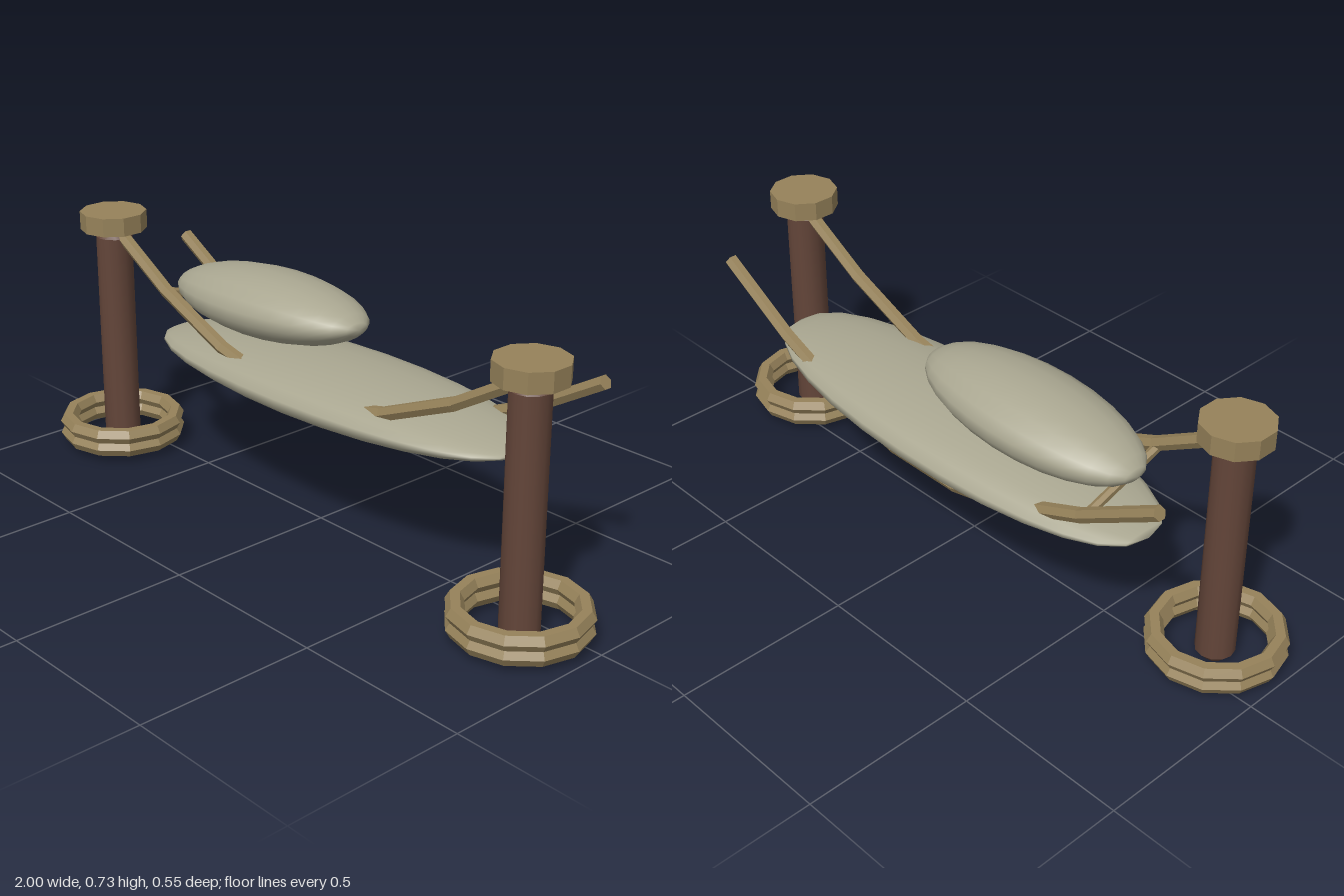
import * as THREE from 'three';
import { mergeVertices, toCreasedNormals } from 'three/addons/utils/BufferGeometryUtils.js';

const material = (name, color) => {
  const m = new THREE.MeshStandardMaterial({ color });
  m.name = name;
  return m;
};

const wood = material('dark wood', 0x634539);
const rope = material('tan rope', 0x96825a);
const cloth = material('canvas cloth', 0xaaa791);

function add(parent, name, geometry, mat, x = 0, y = 0, z = 0) {
  const mesh = new THREE.Mesh(geometry, mat);
  mesh.name = name;
  mesh.position.set(x, y, z);
  parent.add(mesh);
  return mesh;
}

// Soft lens along x: thickness and width fall off at different rates
function lens(length, height, width, thin, wide) {
  const g = new THREE.SphereGeometry(1, 18, 14).rotateZ(Math.PI / 2);
  g.deleteAttribute('uv');
  g.deleteAttribute('normal');
  const p = g.attributes.position;
  for (let i = 0; i < p.count; i++) {
    const x = p.getX(i);
    const s = Math.max(Math.sqrt(Math.max(0, 1 - x * x)), 0.02);
    p.setXYZ(i, x * length / 2,
      p.getY(i) * s ** (thin - 1) * height / 2,
      p.getZ(i) * s ** (wide - 1) * width / 2);
  }
  const merged = mergeVertices(g, 1e-4);
  merged.computeVertexNormals();
  return merged;
}

// Straight faceted rod between two points
function rod(parent, name, a, b, radius) {
  const dir = b.clone().sub(a);
  const g = toCreasedNormals(new THREE.CylinderGeometry(radius, radius, dir.length() + 0.01, 6), 0.3);
  const mesh = add(parent, name, g, rope);
  mesh.position.copy(a).add(b).multiplyScalar(0.5);
  mesh.quaternion.setFromUnitVectors(new THREE.Vector3(0, 1, 0), dir.normalize());
  return mesh;
}

export function createModel() {
  const model = new THREE.Group();
  model.name = 'hammock';

  // Two posts, each with a cap and a pair of ground rings
  const profile = [[0, 0], [0.03, 0], [0.053, 0.025], [0.053, 0.655], [0.03, 0.68], [0, 0.68]]
    .map(([r, y]) => new THREE.Vector2(r, y));
  for (const side of [-1, 1]) {
    const stand = new THREE.Group();
    stand.name = side < 0 ? 'rightStand' : 'leftStand';
    stand.position.set(side * 0.81, 0, 0.084);
    model.add(stand);
    add(stand, 'post', toCreasedNormals(new THREE.LatheGeometry(profile, 12), 0.6), wood);
    add(stand, 'postCap',
      toCreasedNormals(new THREE.CylinderGeometry(0.097, 0.097, 0.054, 10), 0.3), rope, 0, 0.704, 0);
    for (const y of [0.042, 0.08]) {
      const ring = new THREE.TorusGeometry(0.163, 0.025, 6, 12).rotateX(Math.PI / 2);
      add(stand, 'groundRing', toCreasedNormals(ring, 0.3), rope, 0, y, 0);
    }
  }

  // Sagging support ropes, the back one hung lower
  const sag = [[-0.81, 0.597], [-0.57, 0.457], [-0.32, 0.352], [-0.12, 0.306],
    [0.12, 0.306], [0.32, 0.352], [0.57, 0.457], [0.81, 0.597]];
  for (const [name, dy, z] of [['backRope', 0, -0.185], ['frontRope', 0.085, 0.08]]) {
    const group = new THREE.Group();
    group.name = name;
    model.add(group);
    const pts = sag.map(([x, y]) => new THREE.Vector3(x, y + dy, z));
    for (let i = 0; i < pts.length - 1; i++) rod(group, 'ropeSection', pts[i], pts[i + 1], 0.02);
  }

  // Cross ties between the two ropes
  for (const [x, y] of [[-0.58, 0.455], [-0.12, 0.306]]) {
    rod(model, 'crossTie', new THREE.Vector3(x, y, -0.185), new THREE.Vector3(x, y + 0.085, 0.08), 0.013);
  }

  // Cloth bed and pillow, both tipped slightly
  add(model, 'clothBed', lens(1.36, 0.135, 0.45, 1.3, 0.8), cloth, 0, 0.392, -0.052).rotation.z = 0.02;
  add(model, 'pillow', lens(0.725, 0.182, 0.32, 1.1, 0.95), cloth, -0.272, 0.554, -0.055).rotation.z = 0.035;

  return model;
}
